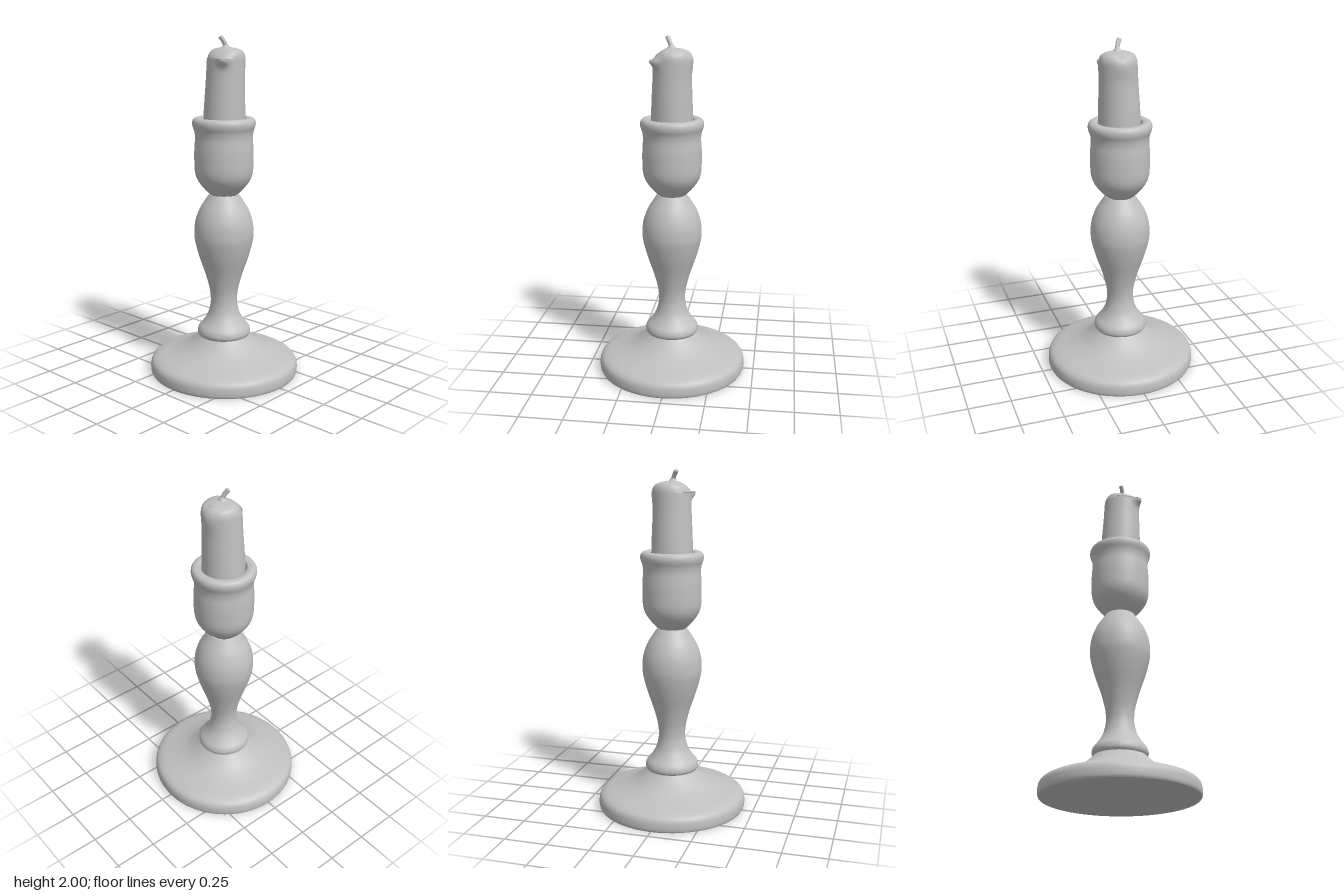
import * as THREE from 'three';
import { mergeVertices } from 'three/addons/utils/BufferGeometryUtils.js';

const grey = new THREE.MeshStandardMaterial({ color: 0xc0c0c0 });
grey.name = 'plain grey';

// Smooth curve through [radius, height] pairs
function smoothProfile(pairs, divisions) {
  const curve = new THREE.SplineCurve(pairs.map(([r, y]) => new THREE.Vector2(r, y)));
  const points = curve.getPoints(divisions);
  points.forEach((p) => { p.x = Math.max(p.x, 0); });
  return points;
}

function turned(name, pairs, divisions = 40) {
  const mesh = new THREE.Mesh(new THREE.LatheGeometry(smoothProfile(pairs, divisions), 64), grey);
  mesh.name = name;
  return mesh;
}

// Weld a geometry so that its normals stay smooth across seams
function weld(geometry) {
  geometry.deleteAttribute('uv');
  geometry.deleteAttribute('normal');
  const welded = mergeVertices(geometry, 1e-4);
  welded.computeVertexNormals();
  return welded;
}

const bump = (distance, width) => Math.exp(-(distance * distance) / (width * width));

function makeCandle() {
  const profile = smoothProfile([
    [0.121, 1.46], [0.120, 1.54], [0.116, 1.65], [0.111, 1.76], [0.109, 1.84],
    [0.106, 1.885], [0.092, 1.913], [0.065, 1.926], [0.03, 1.933], [0, 1.935],
  ], 48);
  profile[profile.length - 1].x = 0;
  const geometry = weld(new THREE.LatheGeometry(profile, 64));
  const pos = geometry.attributes.position;
  const v = new THREE.Vector3();
  for (let i = 0; i < pos.count; i++) {
    v.fromBufferAttribute(pos, i);
    const rise = THREE.MathUtils.clamp((v.y - 1.54) / 0.35, 0, 1);
    const r = Math.hypot(v.x, v.z);
    if (r > 0.001) {
      const dx = v.x / r, dz = v.z / r;
      // wax drip at the front right, softer swelling at the left shoulder
      const drip = 0.034 * bump(Math.acos(THREE.MathUtils.clamp(-0.82 * dx + 0.57 * dz, -1, 1)), 0.3) * bump(v.y - 1.865, 0.03);
      const swell = 0.010 * bump(Math.acos(THREE.MathUtils.clamp(dx, -1, 1)), 0.6) * bump(v.y - 1.865, 0.06);
      const push = (drip + swell) * Math.min(1, r / 0.09);
      v.x += dx * push;
      v.z += dz * push;
    }
    // the top slumps at the right, with a small dent at the left
    if (v.y > 1.88) {
      v.y -= 0.022 * THREE.MathUtils.smoothstep(-v.x, 0.02, 0.11);
      v.y -= 0.008 * bump(Math.hypot(v.x - 0.085, v.z - 0.02), 0.02);
    }
    // slight lean
    v.x += 0.003 * rise;
    v.z += 0.011 * rise + 0.003;
    pos.setXYZ(i, v.x, v.y, v.z);
  }
  geometry.computeVertexNormals();
  const mesh = new THREE.Mesh(geometry, grey);
  mesh.name = 'candle';
  return mesh;
}

function makeWick() {
  const group = new THREE.Group();
  group.name = 'wick';
  const path = new THREE.CatmullRomCurve3([
    new THREE.Vector3(0.006, 1.915, 0.017),
    new THREE.Vector3(-0.004, 1.948, 0.014),
    new THREE.Vector3(-0.016, 1.974, 0.006),
    new THREE.Vector3(-0.026, 1.993, -0.005),
  ]);
  const stem = new THREE.Mesh(new THREE.TubeGeometry(path, 12, 0.013, 10), grey);
  stem.name = 'wickStem';
  const tip = new THREE.Mesh(new THREE.CircleGeometry(0.013, 10), grey);
  tip.name = 'wickTip';
  const end = path.getPoint(1);
  tip.position.copy(end);
  tip.lookAt(end.clone().add(path.getTangent(1)));
  // flared wax where the wick leaves the candle
  const collar = turned('wickCollar', [[0.036, 1.925], [0.022, 1.936], [0.014, 1.947], [0.008, 1.955]], 10);
  collar.position.set(-0.001, 0, 0.015);
  group.add(stem, tip, collar);
  return group;
}

export function createModel() {
  const model = new THREE.Group();
  model.name = 'candlestick';

  // Broad foot, closed underneath
  const foot = new THREE.Group();
  foot.name = 'foot';
  const dish = turned('footDish', [
    [0.436, 0], [0.441, 0.012], [0.442, 0.035], [0.438, 0.062], [0.424, 0.083], [0.39, 0.101],
    [0.31, 0.125], [0.24, 0.154], [0.19, 0.188], [0.158, 0.217], [0.135, 0.238], [0.08, 0.245],
  ], 60);
  const underside = new THREE.Mesh(new THREE.CircleGeometry(0.436, 64), grey);
  underside.name = 'footUnderside';
  underside.rotation.x = Math.PI / 2;
  foot.add(dish, underside);
  foot.scale.set(0.997, 1, 1.012);

  // Turned stem: rounded collar, thin neck and swelling baluster
  const stem = turned('stem', [
    [0.10, 0.225], [0.142, 0.226], [0.154, 0.235], [0.158, 0.252], [0.150, 0.278], [0.122, 0.313],
    [0.097, 0.355], [0.083, 0.405], [0.079, 0.45], [0.085, 0.51], [0.108, 0.60], [0.145, 0.71],
    [0.169, 0.80], [0.175, 0.86], [0.168, 0.93], [0.143, 1.0], [0.109, 1.055], [0.086, 1.09],
  ], 80);

  // Cup with a rolled rim and an open socket
  const cup = turned('cup', [
    [0.080, 1.088], [0.090, 1.097], [0.124, 1.133], [0.155, 1.178], [0.169, 1.225], [0.172, 1.29],
    [0.171, 1.36], [0.167, 1.42], [0.171, 1.458], [0.181, 1.488], [0.183, 1.51], [0.176, 1.528],
    [0.160, 1.537], [0.140, 1.536], [0.127, 1.528], [0.124, 1.50], [0.124, 1.45],
  ], 80);

  model.add(foot, stem, cup, makeCandle(), makeWick());
  return model;
}
